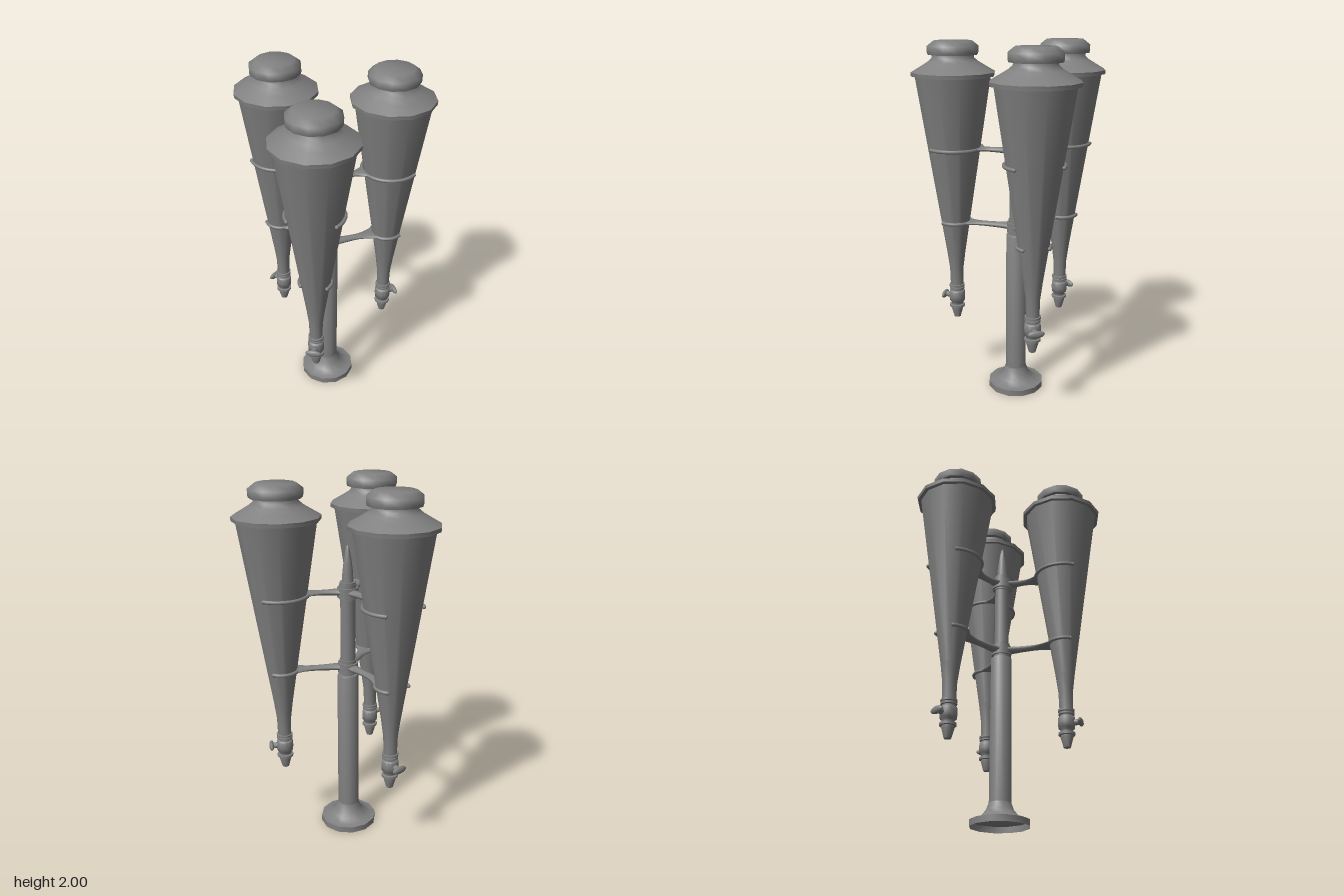
import * as THREE from 'three';
import { toCreasedNormals } from 'three/addons/utils/BufferGeometryUtils.js';

const grey = new THREE.MeshStandardMaterial({ color: 0x808080, side: THREE.DoubleSide });
grey.name = 'grey metal';

function add(parent, name, geometry, x = 0, y = 0, z = 0) {
  const mesh = new THREE.Mesh(geometry, grey);
  mesh.name = name;
  mesh.position.set(x, y, z);
  parent.add(mesh);
  return mesh;
}

// Turned part: profile of [radius, height] from bottom to top
function turned(profile, sides = 12) {
  const points = profile.map(([r, y]) => new THREE.Vector2(r, y));
  return toCreasedNormals(new THREE.LatheGeometry(points, sides), 1.0);
}

const REACH = 0.365; // pole axis to horn axis

// Arm running along +z, flaring at the pole and into the curve of the claw
function armGeometry(ringRadius) {
  const g = new THREE.CylinderGeometry(1, 1, 1, 10, 12, true);
  const p = g.attributes.position;
  for (let i = 0; i < p.count; i++) {
    const t = p.getY(i) + 0.5;
    const halfWidth = 0.021 + 0.014 * (1 - t) ** 4 + 0.045 * t ** 5;
    const halfHeight = 0.019 - 0.009 * t;
    const w = p.getX(i) * halfWidth;
    const end = REACH - Math.sqrt(ringRadius ** 2 - w ** 2);
    p.setXYZ(i, -w, p.getZ(i) * halfHeight, 0.04 + t * (end - 0.04));
  }
  // Keep the faces turned outward after remapping the axes
  const index = g.index.array;
  const a = new THREE.Vector3().fromBufferAttribute(p, index[0]);
  const b = new THREE.Vector3().fromBufferAttribute(p, index[1]);
  const c = new THREE.Vector3().fromBufferAttribute(p, index[2]);
  const n = b.clone().sub(a).cross(c.clone().sub(a));
  if (n.x * a.x + n.y * a.y < 0) {
    for (let i = 0; i < index.length; i += 3) [index[i], index[i + 1]] = [index[i + 1], index[i]];
  }
  g.computeVertexNormals();
  return g;
}

// Arm with an open claw gripping a horn
function bracket(y, ringRadius) {
  const group = new THREE.Group();
  group.name = 'bracket';
  group.position.y = y;
  add(group, 'arm', armGeometry(ringRadius));
  const arc = 4.36;
  const ring = new THREE.TorusGeometry(ringRadius, 0.01, 8, 24, arc);
  ring.rotateZ(-Math.PI / 2 - arc / 2).rotateX(Math.PI / 2);
  add(group, 'claw', ring, 0, 0, REACH);
  for (const s of [-1, 1]) {
    const a = s * arc / 2;
    add(group, 'clawTip', new THREE.SphereGeometry(0.011, 8, 6),
      ringRadius * Math.sin(a), 0, REACH - ringRadius * Math.cos(a));
  }
  return group;
}

// Tapered container with cap, outlet and tap
function horn() {
  const group = new THREE.Group();
  group.name = 'horn';
  group.position.z = REACH;
  add(group, 'cone', turned([[0.037, 0.59], [0.04, 0.7], [0.053, 0.8], [0.21, 1.815]]));
  add(group, 'shoulder', turned([
    [0.205, 1.815], [0.23, 1.815], [0.232, 1.836], [0.18, 1.866],
    [0.14, 1.89], [0.116, 1.91], [0.114, 1.935],
  ]));
  add(group, 'cap', turned([[0.1, 1.928], [0.137, 1.928], [0.141, 1.94], [0.141, 1.973], [0.106, 2], [0, 2]]));
  add(group, 'outlet', turned([
    [0, 0.392], [0.019, 0.392], [0.034, 0.445], [0.034, 0.457], [0.045, 0.459],
    [0.045, 0.472], [0.034, 0.475], [0.034, 0.488], [0.045, 0.497], [0.047, 0.525],
    [0.045, 0.557], [0.035, 0.563], [0.035, 0.57], [0.044, 0.572],
    [0.044, 0.583], [0.038, 0.585], [0.045, 0.588], [0.045, 0.6], [0.036, 0.602],
  ]));
  add(group, 'tapStem', new THREE.CylinderGeometry(0.015, 0.018, 0.045, 10).rotateX(Math.PI / 2), 0, 0.527, 0.055);
  add(group, 'tapHandle', new THREE.SphereGeometry(1, 14, 10).scale(0.047, 0.021, 0.014), 0, 0.527, 0.076);
  return group;
}

export function createModel() {
  const model = new THREE.Group();
  model.name = 'hornStand';
  const stand = new THREE.Group();
  stand.name = 'stand';
  stand.position.z = -0.09;
  model.add(stand);

  // Pole with a hollow flared foot
  add(stand, 'foot', turned([
    [0.16, 0], [0.16, 0.034], [0.135, 0.037], [0.1, 0.055], [0.075, 0.085], [0.06, 0.125],
  ]));
  add(stand, 'lowerPole', turned([[0.06, 0.125], [0.06, 0.935], [0.056, 0.945], [0, 0.945]]));
  add(stand, 'upperPole', turned([[0.041, 0.94], [0.041, 1.46]]));
  add(stand, 'finial', turned([[0.031, 1.47], [0.029, 1.52], [0.024, 1.57], [0.014, 1.635], [0.007, 1.665], [0, 1.675]]));

  // Collars that hold the brackets
  for (const y of [0.99, 1.42]) {
    add(stand, 'collar', turned([
      [0.041, -0.04], [0.047, -0.04], [0.047, -0.03], [0.057, -0.03], [0.057, 0.025],
      [0.047, 0.025], [0.047, 0.043], [0.041, 0.043],
    ]), 0, y, 0);
  }
  add(stand, 'topCollar', turned([[0.044, 1.45], [0.044, 1.475], [0.03, 1.475]]));

  // Three horns spaced evenly round the pole
  for (let i = 0; i < 3; i++) {
    const unit = new THREE.Group();
    unit.name = 'hornUnit';
    unit.rotation.y = (i * 2 * Math.PI) / 3;
    unit.add(horn(), bracket(0.99, 0.088), bracket(1.42, 0.155));
    stand.add(unit);
  }
  return model;
}
